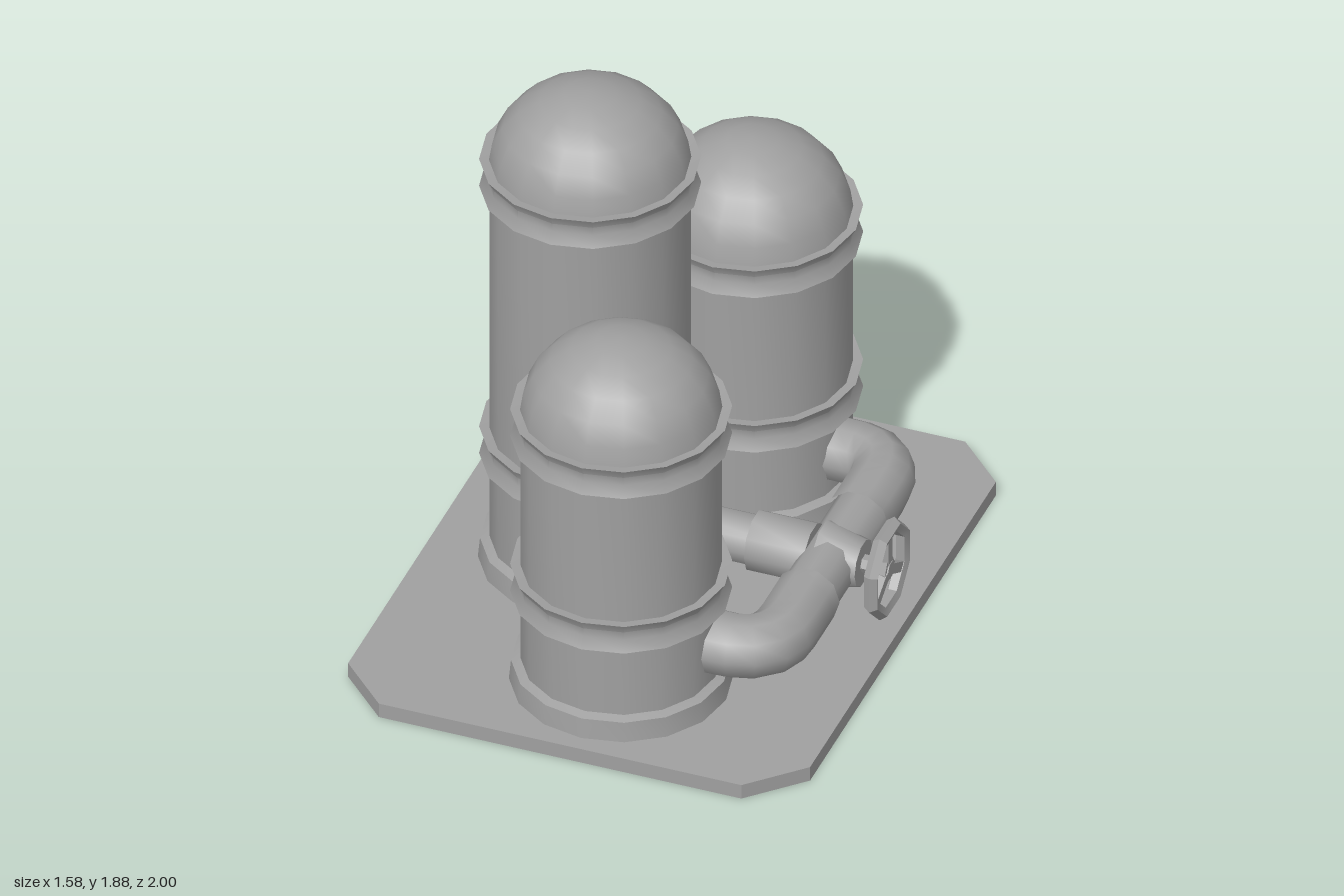
import * as THREE from 'three';
import { toCreasedNormals } from 'three/addons/utils/BufferGeometryUtils.js';

export function createModel() {
  const model = new THREE.Group();
  model.name = 'tankStation';
  const metal = new THREE.MeshStandardMaterial({ color: 0xa0a0a0 });
  metal.name = 'plain grey metal';

  const add = (parent, name, geometry, crease = 0.6) => {
    const mesh = new THREE.Mesh(toCreasedNormals(geometry, crease), metal);
    mesh.name = name;
    parent.add(mesh);
    return mesh;
  };
  const lathe = (pts, sides = 16) =>
    new THREE.LatheGeometry(pts.map(([r, y]) => new THREE.Vector2(r, y)), sides);

  // Base plate with cut corners
  const outline = [[0.62, -1], [0.79, -0.83], [0.79, 0.83], [0.62, 1],
    [-0.62, 1], [-0.79, 0.83], [-0.79, -0.83], [-0.62, -1]];
  const plate = new THREE.ExtrudeGeometry(
    new THREE.Shape(outline.map(([x, z]) => new THREE.Vector2(x, z))),
    { depth: 0.053, bevelEnabled: false });
  plate.rotateX(-Math.PI / 2);
  add(model, 'basePlate', plate);

  // Domed tank with foot collar and two flared bands
  function tank(name, x, z, lowBand, highBand, top) {
    const g = new THREE.Group();
    g.name = name;
    g.position.set(x, 0, z);
    add(g, 'tankBody', lathe([[0.322, 0.04], [0.322, highBand + 0.05]]));
    add(g, 'footCollar', lathe([[0.36, 0.04], [0.352, 0.125], [0.32, 0.135]]));
    for (const [label, y] of [['lowerBand', lowBand], ['upperBand', highBand]])
      add(g, label, lathe([[0.315, y - 0.005], [0.355, y], [0.336, y + 0.04],
        [0.336, y + 0.07], [0.355, y + 0.105], [0.315, y + 0.1]]));
    const y0 = highBand + 0.09;
    const dome = [];
    for (let i = 0; i <= 6; i++) {
      const a = (i / 6) * Math.PI / 2;
      dome.push([i === 6 ? 0 : 0.325 * Math.cos(a), y0 + (top - y0) * Math.sin(a)]);
    }
    add(g, 'dome', lathe(dome), 0.9);
    model.add(g);
  }
  tank('tallTank', -0.28, 0, 0.46, 1.515, 1.88);
  for (const s of [1, -1])
    tank(s > 0 ? 'frontTank' : 'backTank', 0.05, s * 0.585, 0.4, 1.01, 1.39);

  // Elbow pipes joining the short tanks to the manifold
  for (const s of [1, -1]) {
    const path = new THREE.CurvePath();
    const p = (x, z) => new THREE.Vector3(x, 0.255, s * z);
    path.add(new THREE.LineCurve3(p(0.25, 0.56), p(0.4, 0.56)));
    path.add(new THREE.QuadraticBezierCurve3(p(0.4, 0.56), p(0.55, 0.56), p(0.55, 0.4)));
    path.add(new THREE.LineCurve3(p(0.55, 0.4), p(0.55, 0.22)));
    add(model, s > 0 ? 'frontElbow' : 'backElbow',
      new THREE.TubeGeometry(path, 10, 0.108, 10, false), 0.8);
  }

  // Rods along x or z
  function rod(name, r0, r1, length, axis, x, y, z, sides = 10) {
    const geo = new THREE.CylinderGeometry(r1, r0, length, sides);
    if (axis === 'x') geo.rotateZ(-Math.PI / 2);
    else geo.rotateX(Math.PI / 2);
    return add(model, name, geo, 0.8).position.set(x, y, z);
  }
  rod('manifold', 0.095, 0.095, 0.56, 'z', 0.55, 0.255, 0);
  rod('centrePipe', 0.085, 0.085, 0.45, 'x', 0.2, 0.255, 0);
  rod('centreSleeve', 0.102, 0.102, 0.2, 'x', 0.385, 0.255, 0);
  rod('valveNeck', 0.115, 0.08, 0.14, 'x', 0.585, 0.26, 0);
  rod('valveStem', 0.03, 0.03, 0.12, 'x', 0.69, 0.26, 0, 6);
  rod('valveHub', 0.03, 0.045, 0.05, 'x', 0.72, 0.26, 0, 6);

  // Eight-sided handwheel with three spokes
  const wheel = new THREE.Group();
  wheel.name = 'handwheel';
  wheel.position.set(0.735, 0.26, 0);
  wheel.rotation.y = Math.PI / 2;
  const rim = new THREE.TorusGeometry(0.148, 0.025, 5, 8);
  rim.rotateZ(Math.PI / 8);
  add(wheel, 'wheelRim', rim);
  for (let i = 0; i < 3; i++) {
    const spoke = new THREE.BoxGeometry(0.035, 0.14, 0.025);
    spoke.translate(0, 0.075, 0);
    spoke.rotateZ(i * Math.PI * 2 / 3);
    add(wheel, 'wheelSpoke', spoke);
  }
  model.add(wheel);
  return model;
}
